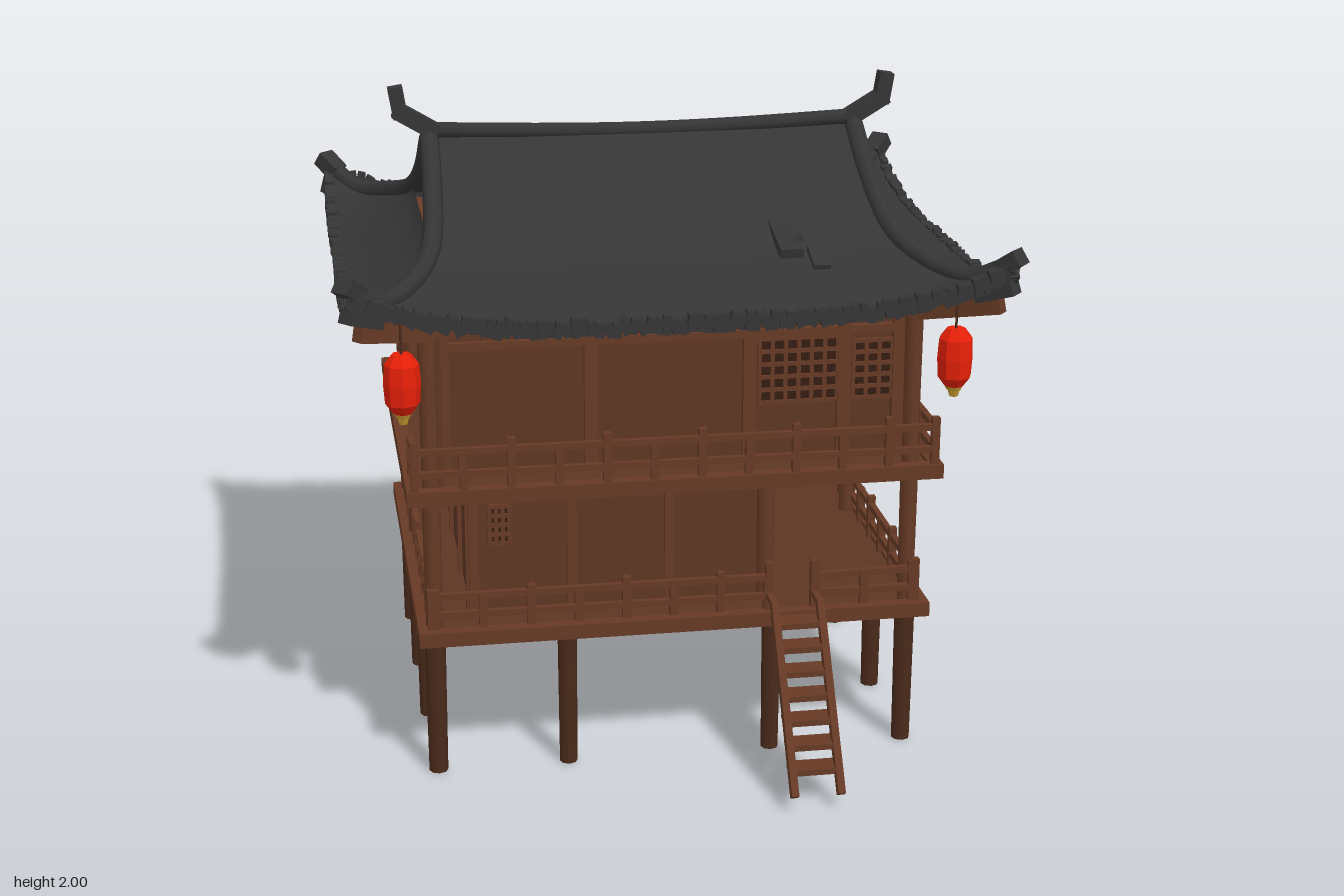
import * as THREE from 'three';
import { mergeGeometries } from 'three/addons/utils/BufferGeometryUtils.js';

const mat = (name, color, side = THREE.FrontSide) => {
  const m = new THREE.MeshStandardMaterial({ color, side });
  m.name = name;
  return m;
};

export function createModel() {
  const root = new THREE.Group();
  root.name = 'stiltHouse';
  const wood = mat('brownWood', 0x663a25, THREE.DoubleSide);
  const panel = mat('wallPanel', 0x5e3624);
  const dark = mat('darkWood', 0x4a2a1b);
  const shade = mat('windowShade', 0x341d12);
  const tile = mat('roofTile', 0x353536, THREE.DoubleSide);
  const red = mat('lanternRed', 0xea2008);
  const gold = mat('lanternGold', 0xc2962f);
  const olive = mat('plankOlive', 0x52442b);
  [red, gold, olive].forEach((m) => { m.flatShading = true; });

  let seed = 7;
  const rnd = () => (seed = (seed * 16807) % 2147483647) / 2147483647 - 0.5;
  const V = (x, y, z) => new THREE.Vector3(x, y, z);

  const add = (name, geo, material, parent = root) => {
    const m = new THREE.Mesh(Array.isArray(geo) ? mergeGeometries(geo) : geo, material);
    m.name = name;
    parent.add(m);
    return m;
  };
  // box given by its limits on each axis
  const box = (x0, x1, y0, y1, z0, z1) => new THREE.BoxGeometry(x1 - x0, y1 - y0, z1 - z0)
    .translate((x0 + x1) / 2, (y0 + y1) / 2, (z0 + z1) / 2);
  // square bar from a to b
  const bar = (a, b, w, h = w) => {
    const g = new THREE.BoxGeometry(w, h, a.distanceTo(b));
    const o = new THREE.Object3D();
    o.position.copy(a).add(b).multiplyScalar(0.5);
    o.lookAt(b);
    o.updateMatrix();
    return g.applyMatrix4(o.matrix);
  };
  const post = (x, z, y0, y1, r = 0.028) => new THREE.CylinderGeometry(r, r * 0.9, y1 - y0, 8).translate(x, (y0 + y1) / 2, z);

  // stilts
  const stilts = [];
  for (const x of [-0.73, 0.72]) for (const z of [0.5, 0.1, x > 0 ? -0.42 : -0.29, -0.68]) stilts.push(post(x, z, 0, 0.46, 0.032));
  for (const x of [-0.33, 0.3]) for (const z of [0.5, -0.58]) stilts.push(post(x, z, 0, 0.46, 0.03));
  add('stilts', stilts, dark);

  // floors with edge beams
  const deck = (name, y, x1, z0, z1) => {
    add(name, box(-x1, x1, y, y + 0.03, z0, z1), panel);
    const edges = [];
    for (const z of [z0, z1]) edges.push(bar(V(-x1 - 0.018, y + 0.02, z), V(x1 + 0.018, y + 0.02, z), 0.04, 0.045));
    for (const x of [-x1, x1]) edges.push(bar(V(x, y + 0.02, z0 - 0.02), V(x, y + 0.02, z1 + 0.02), 0.04, 0.045));
    add(name + 'Beams', edges, wood);
  };
  deck('lowerDeck', 0.438, 0.76, -0.73, 0.55);
  deck('upperDeck', 0.89, 0.785, -0.74, 0.56);

  // rooms
  add('lowerRoom', box(-0.61, 0.31, 0.46, 0.9, -0.6, 0.39), panel);
  add('upperRoom', box(-0.7, 0.55, 0.92, 1.42, -0.69, 0.4), panel);
  add('upperCornerRoom', box(0.54, 0.72, 0.92, 1.42, -0.69, -0.3), panel);
  add('frontScreen', box(0.54, 0.71, 0.92, 1.42, 0.37, 0.395), panel);
  add('leftFin', box(-0.71, -0.69, 0.92, 1.42, 0.39, 0.5), panel);
  add('ceiling', box(-0.75, 0.75, 1.4, 1.43, -0.72, 0.52), wood);

  // main posts
  const posts = [];
  for (const x of [-0.73, 0.72]) for (const z of [0.5, -0.28, -0.69]) posts.push(post(x, z, 0.46, 0.9), post(x, z, 0.92, 1.42));
  posts.push(post(0.58, -0.66, 0.46, 0.9), post(0.3, 0.39, 0.46, 0.9));
  add('posts', posts, wood);

  // wall framing
  const frame = [];
  for (const x of [-0.6, -0.3, 0, 0.3]) frame.push(box(x - 0.015, x + 0.015, 0.47, 0.89, 0.38, 0.402), box(x - 0.015, x + 0.015, 0.47, 0.89, -0.612, -0.59));
  for (const z of [0.37, 0.07, -0.27, -0.58]) frame.push(box(0.3, 0.323, 0.47, 0.89, z - 0.015, z + 0.015), box(-0.623, -0.6, 0.47, 0.89, z - 0.015, z + 0.015));
  for (const x of [-0.68, -0.24, 0.24, 0.53, 0.7]) frame.push(box(x - 0.02, x + 0.02, 0.92, 1.42, 0.39, 0.42), box(x - 0.02, x + 0.02, 0.92, 1.42, -0.71, -0.68));
  for (const z of [0.37, 0.31, -0.05, -0.27]) frame.push(box(0.54, 0.57, 0.92, 1.42, z - 0.015, z + 0.015));
  for (const z of [0.3, 0.05, -0.5]) frame.push(box(-0.72, -0.69, 0.92, 1.42, z - 0.015, z + 0.015));
  for (const y of [1.32, 1.38]) {
    frame.push(box(-0.7, 0.73, y - 0.012, y + 0.012, 0.39, 0.42), box(-0.7, 0.73, y - 0.012, y + 0.012, -0.71, -0.68));
    frame.push(box(-0.725, -0.69, y - 0.012, y + 0.012, -0.69, 0.5), box(0.54, 0.57, y - 0.012, y + 0.012, -0.3, 0.39));
    frame.push(box(0.71, 0.735, y - 0.012, y + 0.012, -0.69, -0.3));
  }
  frame.push(box(-0.75, 0.75, 1.385, 1.42, 0.48, 0.52), box(0.7, 0.74, 1.385, 1.42, -0.7, 0.5));
  add('wallFrame', frame, wood);

  // lattice windows: dark plate with crossing bars
  const lattice = (name, x0, x1, y0, y1, z, s, nx, ny) => {
    const g = new THREE.Group();
    g.name = name;
    root.add(g);
    add('pane', box(x0, x1, y0, y1, z - 0.004, z + 0.004), shade, g);
    const bars = [];
    for (let i = 0; i <= nx; i++) bars.push(box(-0.006, 0.006, y0, y1, -0.006, 0.006).translate(x0 + (x1 - x0) * i / nx, 0, z + s * 0.006));
    for (let i = 0; i <= ny; i++) bars.push(box(x0, x1, -0.006, 0.006, -0.006, 0.006).translate(0, y0 + (y1 - y0) * i / ny, z + s * 0.006));
    add('bars', bars, wood, g);
  };
  lattice('frontWindow', 0.27, 0.51, 1.1, 1.3, 0.404, 1, 6, 5);
  lattice('frontSmallWindow', 0.56, 0.68, 1.1, 1.28, 0.399, 1, 3, 5);
  lattice('lowerWindow', -0.55, -0.49, 0.69, 0.81, 0.394, 1, 3, 4);
  lattice('backWindowA', 0.38, 0.49, 1.08, 1.27, -0.694, -1, 2, 3);
  lattice('backWindowB', 0.24, 0.35, 1.08, 1.27, -0.694, -1, 2, 3);
  lattice('lowerBackWindow', -0.2, -0.08, 0.64, 0.79, -0.604, -1, 3, 3);

  // railings
  const rail = (name, x0, z0, x1, z1, y, h) => {
    const parts = [];
    const a = V(x0, y, z0), b = V(x1, y, z1);
    const n = Math.max(1, Math.round(a.distanceTo(b) / 0.14));
    for (let i = 0; i <= n; i++) {
      const p = a.clone().lerp(b, i / n);
      const top = h + (i % 2 ? -0.005 : 0.02) + rnd() * 0.01;
      parts.push(box(p.x - 0.012, p.x + 0.012, y, y + top, p.z - 0.012, p.z + 0.012));
    }
    for (const k of [0.42, 0.92]) parts.push(bar(V(x0, y + h * k + rnd() * 0.008, z0), V(x1, y + h * k + rnd() * 0.008, z1), 0.018, 0.02));
    add(name, parts, wood);
  };
  rail('lowerRailFront', -0.73, 0.53, 0.28, 0.53, 0.47, 0.12);
  rail('lowerRailFrontEnd', 0.43, 0.53, 0.73, 0.53, 0.47, 0.12);
  rail('lowerRailBack', -0.73, -0.71, 0.73, -0.71, 0.47, 0.12);
  for (const x of [-0.74, 0.74]) rail('lowerRailSide', x, 0.53, x, -0.71, 0.47, 0.12);
  rail('upperRailFront', -0.78, 0.56, 0.78, 0.56, 0.92, 0.14);
  rail('upperRailRight', 0.78, 0.56, 0.78, -0.3, 0.92, 0.14);
  rail('upperRailReturn', -0.78, 0.56, -0.78, 0.42, 0.92, 0.14);

  // ladder
  const ladder = [];
  for (const x of [0.285, 0.425]) {
    ladder.push(bar(V(x, 0.05, 0.945), V(x, 0.53, 0.61), 0.022, 0.032), bar(V(x, 0.525, 0.625), V(x, 0.525, 0.53), 0.02));
    ladder.push(box(x - 0.012, x + 0.012, 0.47, 0.63, 0.52, 0.545));
  }
  for (let i = 0; i < 7; i++) {
    const y = 0.11 + i * 0.06, z = 0.945 - (y - 0.05) * 0.698;
    ladder.push(box(0.28, 0.43, y - 0.009, y + 0.009, z - 0.06, z + 0.01));
  }
  add('ladder', ladder, wood);

  // roof: curved hip ridge (x, y, distance from main ridge) and middle profile
  const Z0 = -0.1;
  const line = (pts) => new THREE.CatmullRomCurve3(pts.map((p) => V(...p)), false, 'catmullrom');
  const hip = line([[0.665, 1.835, 0], [0.672, 1.7, 0.2], [0.695, 1.59, 0.4], [0.76, 1.535, 0.57], [0.855, 1.515, 0.7], [0.955, 1.575, 0.8]]);
  const mid = line([[0, 1.845, 0], [0, 1.7, 0.2], [0, 1.59, 0.4], [0, 1.53, 0.57], [0, 1.49, 0.7], [0, 1.46, 0.8]]);
  const long = (s, u, v) => {
    const r = hip.getPoint(v), m = mid.getPoint(v);
    return V(u * r.x, m.y + (r.y - m.y) * u ** 4, Z0 + s * r.z);
  };
  const end = (s, u, v) => {
    const r = hip.getPoint(0.4 + 0.6 * v), m = mid.getPoint(0.4 + 0.6 * v);
    return V(s * r.x, m.y + (r.y - m.y) * u ** 4, Z0 + u * r.z);
  };
  const surface = (fn, nu, nv) => {
    const g = new THREE.PlaneGeometry(1, 1, nu, nv);
    const p = g.attributes.position;
    for (let i = 0; i < p.count; i++) {
      const q = fn(p.getX(i) * 2, p.getY(i) + 0.5);
      p.setXYZ(i, q.x, q.y, q.z);
    }
    g.computeVertexNormals();
    return g;
  };
  const tiles = [];
  for (const s of [1, -1]) {
    for (const [name, fn, inner, n] of [
      ['Long', long, (u) => V(u * 0.73, 1.41, Z0 + s * 0.61), 80],
      ['End', end, (u) => V(s * 0.73, 1.41, Z0 + u * 0.61), 66]]) {
      add('roofSlope' + name, surface((u, v) => fn(s, u, v), 32, 16), tile);
      const drop = V(0, -0.022, 0);
      add('eaveSoffit' + name, surface((u, v) => fn(s, u, 1).add(drop).lerp(inner(u), v), 32, 2), wood);
      // ragged tile edge
      for (let i = 0; i < n; i++) {
        const a = fn(s, -1 + 2 * i / n, 1), b = fn(s, -1 + 2 * (i + 1) / n, 1);
        a.y += -0.014 + rnd() * 0.016;
        b.y += -0.014 + rnd() * 0.016;
        tiles.push(bar(a, b, 0.03 + rnd() * 0.02, 0.05 + rnd() * 0.014));
      }
    }
  }
  add('eaveTiles', tiles, tile);

  // gables, hip ridges with upturned tips, ridge horns
  const tube = (pts, r, n = 24) => new THREE.TubeGeometry(line(pts), n, r, 8, false);
  for (const s of [1, -1]) {
    const sh = new THREE.Shape([[-0.4, 1.5], [0.4, 1.5], [0.4, 1.585], [0.2, 1.69], [0, 1.825], [-0.2, 1.69], [-0.4, 1.585]].map((p) => new THREE.Vector2(...p)));
    const g = new THREE.ExtrudeGeometry(sh, { depth: 0.06, bevelEnabled: false }).rotateY(Math.PI / 2);
    add('gableWall', g.translate(s * 0.635 - 0.03, 0, Z0), tile);
    const tri = new THREE.Shape([[-0.21, 1.61], [0.21, 1.61], [0, 1.75]].map((p) => new THREE.Vector2(...p)));
    const t = new THREE.ExtrudeGeometry(tri, { depth: 0.008, bevelEnabled: false }).rotateY(Math.PI / 2);
    add('gablePanel', t.translate(s * 0.667 - 0.004, 0, Z0), wood);
    for (const d of [1, -1]) {
      const at = (p, lift) => [s * p.x, p.y + lift, Z0 + d * p.z];
      const pts = [0, 0.2, 0.4, 0.6, 0.8, 0.93, 1].map((v) => at(hip.getPoint(v), 0.005));
      add('hipRidge', tube(pts, 0.03, 32), tile);
      add('hipTip', bar(V(s * 0.925, 1.56, Z0 + d * 0.765), V(s * 0.97, 1.605, Z0 + d * 0.81), 0.06, 0.05), tile);
      add('lowerTip', bar(V(s * 0.87, 1.48, Z0 + d * 0.72), V(s * 0.96, 1.52, Z0 + d * 0.8), 0.055, 0.06), tile);
      add('cornerBracket', bar(V(s * 0.72, 1.4, Z0 + d * 0.6), V(s * 0.93, 1.46, Z0 + d * 0.78), 0.04, 0.06), wood);
    }
    add('ridgeHorn', bar(V(s * 0.64, 1.85, Z0), V(s * 0.765, 1.925, Z0), 0.05, 0.05), tile);
    add('hornTip', bar(V(s * 0.75, 1.9, Z0), V(s * 0.765, 1.995, Z0), 0.05, 0.045), tile);
  }
  add('mainRidge', tube([[-0.68, 1.86, Z0], [-0.3, 1.845, Z0], [0, 1.84, Z0], [0.3, 1.845, Z0], [0.68, 1.86, Z0]], 0.024), tile);

  // loose tiles on the front slope
  add('looseTiles', [bar(V(0.36, 1.61, 0.24), V(0.36, 1.565, 0.43), 0.07, 0.03), bar(V(0.44, 1.565, 0.38), V(0.44, 1.53, 0.48), 0.05, 0.025), bar(V(0.33, 1.56, 0.4), V(0.4, 1.6, 0.36), 0.02)], tile);

  // spare log behind the house, with darker cut ends
  add('log', new THREE.CylinderGeometry(0.034, 0.034, 0.4, 8).rotateZ(Math.PI / 2).translate(-0.48, 1.37, -0.925), [olive, dark, dark]);

  // lanterns at the four corners
  const bulb = [[0, -0.088], [0.028, -0.088], [0.05, -0.058], [0.054, 0], [0.05, 0.058], [0.028, 0.088], [0, 0.088]].map((p) => new THREE.Vector2(...p));
  for (const x of [-0.81, 0.81]) for (const z of [0.63, -0.82]) {
    const g = new THREE.Group();
    g.name = 'lantern';
    g.position.set(x, 1.287, z);
    root.add(g);
    add('shade', new THREE.LatheGeometry(bulb, 8), red, g);
    add('tassel', [new THREE.CylinderGeometry(0.03, 0.022, 0.016, 8).translate(0, -0.092, 0), new THREE.CylinderGeometry(0.02, 0.013, 0.025, 6).translate(0, -0.108, 0)], gold, g);
    add('cord', new THREE.CylinderGeometry(0.004, 0.004, 0.1, 5).translate(0, 0.135, 0), dark, g);
  }
  return root;
}
